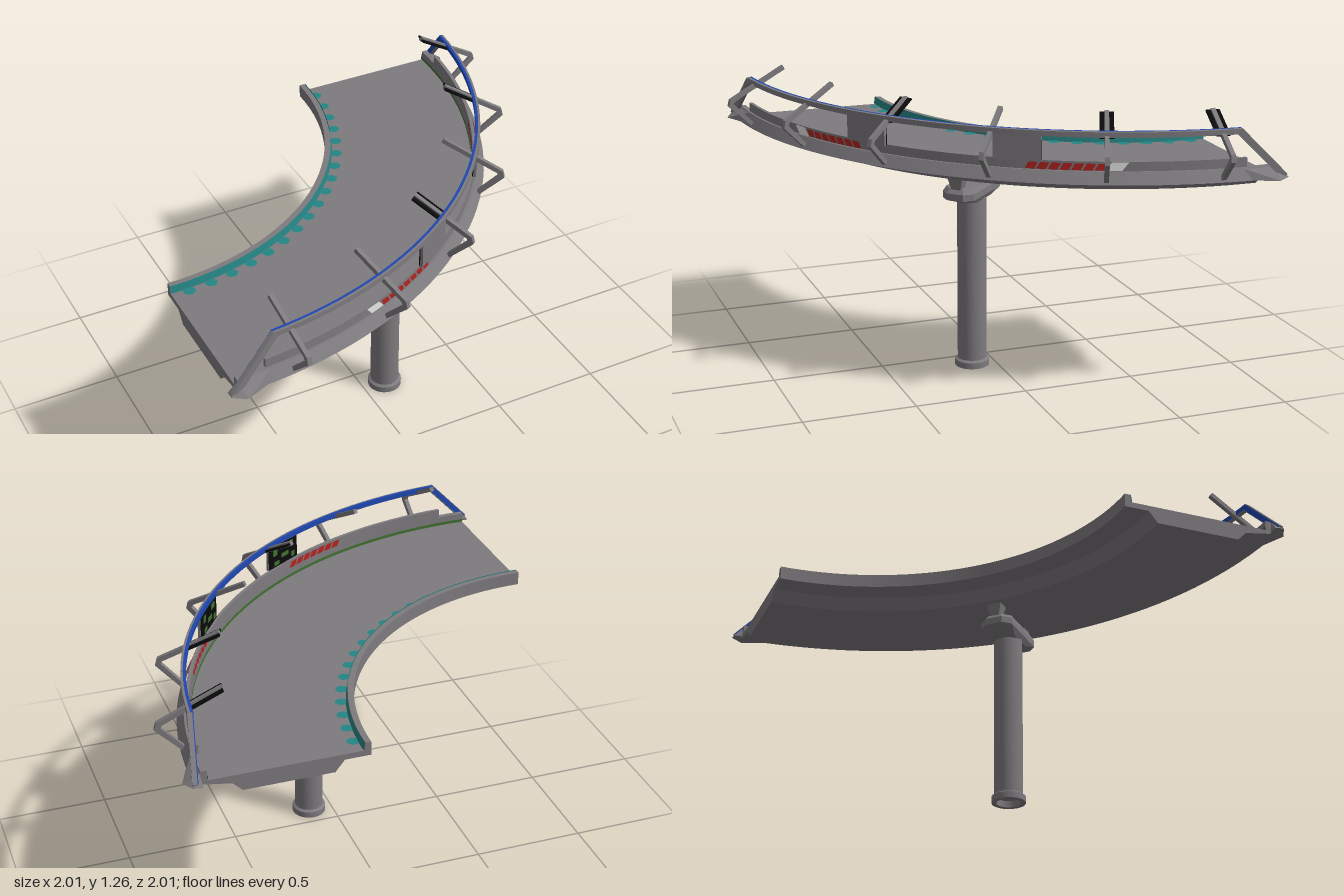
import * as THREE from 'three';
import { toCreasedNormals } from 'three/addons/utils/BufferGeometryUtils.js';
import { ConvexGeometry } from 'three/addons/geometries/ConvexGeometry.js';

const C = -0.96; // arc centre on both x and z
const RAD = Math.PI / 180;
const mat = (name, color) => {
  const m = new THREE.MeshStandardMaterial({ color, side: THREE.DoubleSide });
  m.name = name;
  return m;
};
const V = (x, y, z) => new THREE.Vector3(x, y, z);
// Point at angle a (degrees from +x toward +z), radius r, height y
const polar = (a, r, y) => V(C + r * Math.cos(a * RAD), y, C + r * Math.sin(a * RAD));

export function createModel() {
  const root = new THREE.Group();
  root.name = 'curvedElevatedTrack';
  const grey = mat('concreteGrey', 0x7e7b7e);
  const black = mat('black', 0x0b0b0c);
  const red = mat('warningRed', 0xb5221f);
  const white = mat('white', 0xeeeeee);
  const blue = mat('lightBlue', 0x1f47b0);
  const teal = mat('teal', 0x268686);
  const green = mat('displayGreen', 0x3f7030);

  function add(name, geo, material, parent = root) {
    const m = new THREE.Mesh(geo, material);
    m.name = name;
    parent.add(m);
    return m;
  }

  // Sweep an (r, y) section around the arc; closed sections get end caps
  function sweep(name, pts, a0, a1, material, closed = true) {
    const g = new THREE.Group();
    g.name = name;
    const p = pts.map(([r, y]) => new THREE.Vector2(r, y));
    const loop = closed ? [...p, p[0].clone()] : p;
    const geo = new THREE.LatheGeometry(loop, 40, (90 - a1) * RAD, (a1 - a0) * RAD);
    add(name + 'Surface', toCreasedNormals(geo, 0.4), material, g);
    if (closed) for (const a of [a0, a1]) {
      add(name + 'End', new THREE.ShapeGeometry(new THREE.Shape(p)), material, g).rotation.y = -a * RAD;
    }
    g.position.set(C, 0, C);
    root.add(g);
  }

  // Flat four-cornered plate on a cylinder of radius r, leaning by lean degrees
  function patch(name, r, a0, a1, y0, y1, lean, material) {
    const q = [polar(a0, r, y0), polar(a1, r, y0), polar(a1 + lean, r, y1), polar(a0 + lean, r, y1)];
    const geo = new THREE.BufferGeometry().setFromPoints(q);
    geo.setIndex([0, 2, 1, 0, 3, 2]);
    geo.computeVertexNormals();
    add(name, geo, material);
  }

  function bar(name, a, b, w, h, material) {
    const m = add(name, new THREE.BoxGeometry(w, h, a.distanceTo(b)), material);
    m.position.copy(a).add(b).multiplyScalar(0.5);
    m.lookAt(b);
  }

  // Deck with a box girder, inner kerb and outer barrier
  sweep('deck', [[1.16, 0.96], [1.27, 0.96], [1.31, 0.91], [1.69, 0.91], [1.73, 0.95],
    [1.85, 0.97], [1.86, 0.985], [1.16, 0.985]], 0, 90, grey);
  sweep('innerKerb', [[1.16, 0.985], [1.19, 0.985], [1.185, 1.02], [1.16, 1.02]], 0, 90, grey);
  sweep('outerSkirt', [[1.83, 0.98], [1.885, 0.98], [1.855, 1.03], [1.83, 1.03]], 0, 90, grey);
  sweep('barrierWall', [[1.83, 1.03], [1.845, 1.03], [1.845, 1.07], [1.83, 1.07]], 4, 86, grey);
  sweep('barrierGreenLine', [[1.827, 0.988], [1.827, 1.002]], 0, 90, green, false);

  // Teal edge light and its scalloped glow on the deck
  sweep('kerbLight', [[1.193, 0.987], [1.188, 1.022]], 0, 90, teal, false);
  for (let i = 0; i < 18; i++) {
    const dot = add('kerbGlow', new THREE.CircleGeometry(0.027, 10), teal);
    dot.rotation.x = -Math.PI / 2;
    dot.position.copy(polar(3.5 + i * 4.88, 1.212, 0.989));
  }

  // Guard rail with blue inner and top strips
  sweep('guardRail', [[1.84, 1.175], [1.86, 1.175], [1.86, 1.198], [1.84, 1.198]], 5, 85, grey);
  sweep('railLight', [[1.838, 1.177], [1.838, 1.2], [1.85, 1.2]], 5, 85, blue, false);

  // Bent posts, three of them carrying a lamp panel
  const postShape = new THREE.Shape([[1.875, 0.985], [1.985, 1.09], [1.977, 1.122], [1.715, 1.258],
    [1.705, 1.24], [1.955, 1.11], [1.96, 1.098], [1.848, 0.985]].map(([r, y]) => new THREE.Vector2(r, y)));
  const postGeo = new THREE.ExtrudeGeometry(postShape, { depth: 0.02, bevelEnabled: false }).translate(0, 0, -0.01);
  for (let i = 0; i < 6; i++) {
    const a = 7.5 + 15 * i;
    const post = add('bentPost', postGeo, grey);
    post.position.set(C, 0, C);
    post.rotation.y = -a * RAD;
    if (i === 0 || i === 1 || i === 3) {
      bar('lampPanel', polar(a, 1.71, 1.248), polar(a, 1.855, 1.173), 0.06, 0.008, black);
    }
  }

  // Display screens facing the track
  for (const a of [34, 56]) {
    const screen = new THREE.Group();
    screen.name = 'displayScreen';
    screen.position.copy(polar(a, 1.85, 1.123));
    screen.rotation.y = -a * RAD;
    root.add(screen);
    add('screenBack', new THREE.BoxGeometry(0.012, 0.115, 0.205), grey, screen);
    add('screenFace', new THREE.BoxGeometry(0.004, 0.115, 0.205), black, screen).position.x = -0.009;
    for (const [y, z, h, w] of [[0.03, 0.05, 0.025, 0.04], [-0.01, 0.01, 0.02, 0.05],
      [0.02, -0.06, 0.03, 0.03], [-0.035, -0.05, 0.02, 0.035], [-0.03, 0.07, 0.025, 0.025]]) {
      add('screenPatch', new THREE.BoxGeometry(0.002, h, w), green, screen).position.set(-0.0125, y, z);
    }
  }

  // Slanted warning stripes on both faces of the barrier, mirrored about the middle
  for (const s of [-1, 1]) {
    for (const r of [1.849, 1.827]) {
      for (let i = 0; i < 7; i++) {
        const b = 45 + s * (12 + i * 1.5);
        patch('warningStripe', r, b, b + s * 1.2, 1.033, 1.062, s * 0.5, red);
      }
    }
    const e = 45 + s * 22.3;
    patch('warningEnd', 1.849, e, e + s * 2.2, 1.032, 1.068, s * 0.9, white);
  }

  // End braces and feet, mirrored by swapping x and z
  for (const flip of [false, true]) {
    const P = (x, y, z) => (flip ? V(z, y, x) : V(x, y, z));
    bar('endBrace', P(-0.79, 1.188, 0.884), P(-0.985, 0.988, 0.925), 0.02, 0.03, grey);
    bar('endBraceLight', P(-0.79, 1.19, 0.872), P(-0.985, 0.99, 0.913), 0.004, 0.024, blue);
    add('endFoot', new ConvexGeometry([P(-0.78, 0.98, 0.895), P(-1, 0.98, 0.895), P(-1, 0.985, 0.935),
      P(-0.945, 0.98, 0.965), P(-0.8, 1.03, 0.885), P(-0.96, 1.025, 0.9)]), grey);
  }

  // Support column, its long axis pointing along the arc radius
  const support = new THREE.Group();
  support.name = 'support';
  support.position.set(0.107, 0, 0.107);
  support.rotation.y = -45 * RAD;
  root.add(support);
  const column = [[0.055, 0.03], [0.055, 0], [0.077, 0], [0.077, 0.028], [0.065, 0.036], [0.065, 0.8]];
  add('column', toCreasedNormals(new THREE.LatheGeometry(
    column.map(([r, y]) => new THREE.Vector2(r, y)), 24), 0.5), grey, support);
  add('columnFloor', new THREE.CircleGeometry(0.056, 24).rotateX(Math.PI / 2).translate(0, 0.03, 0), grey, support);
  const cap = [];
  for (const [y, l, w] of [[0.785, 0.1, 0.06], [0.81, 0.17, 0.075], [0.84, 0.17, 0.075], [0.86, 0.155, 0.065]]) {
    for (const sx of [-1, 1]) for (const sz of [-1, 1]) {
      cap.push(V(sx * l, y, sz * (w - 0.035)), V(sx * (l - 0.035), y, sz * w));
    }
  }
  add('columnCap', new ConvexGeometry(cap), grey, support);

  // Two flared bearings under the girder
  for (const x of [-0.14, 0.14]) {
    const b = add('bearing', new THREE.CylinderGeometry(0.046, 0.028, 0.056, 4, 1).rotateY(Math.PI / 4), grey, support);
    b.position.set(x, 0.885, 0);
    b.scale.z = 1.1;
  }
  root.traverse((o) => { if (o.isMesh && /bearing|endFoot|columnCap/.test(o.name)) {
    o.geometry = o.geometry.index ? o.geometry.toNonIndexed() : o.geometry;
    o.geometry.computeVertexNormals();
  } });
  return root;
}
